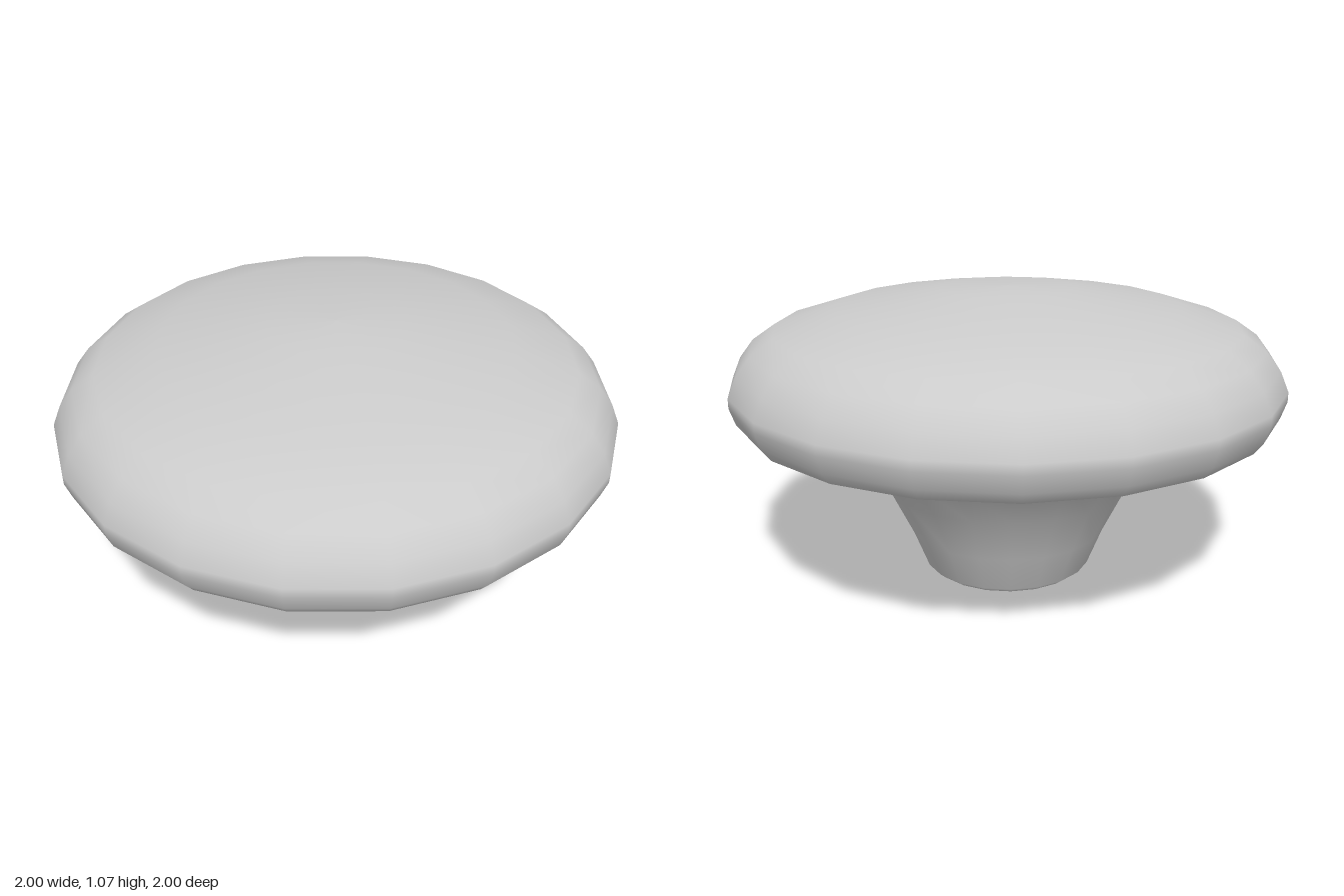
import * as THREE from 'three';

const SIDES = 20;

export function createModel() {
  const group = new THREE.Group();
  group.name = 'knob';
  const material = new THREE.MeshStandardMaterial({ color: 0xcccccc });

  // Turned part from [radius, height] pairs, listed from the bottom outward and up
  const turned = (name, profile) => {
    const points = profile.map(([r, y]) => new THREE.Vector2(r, y));
    const mesh = new THREE.Mesh(new THREE.LatheGeometry(points, SIDES), material);
    mesh.name = name;
    group.add(mesh);
  };

  // Flat mounting face
  turned('base', [[0, 0], [0.29, 0]]);

  // Flared stem, running up into the hollow under the cap
  turned('stem', [
    [0.29, 0], [0.315, 0.02], [0.37, 0.16], [0.455, 0.335],
    [0.58, 0.5], [0.74, 0.595], [0.87, 0.64],
  ]);

  // Domed cap with a rounded rim and a small inner lip
  turned('cap', [
    [0.87, 0.64], [0.89, 0.61], [0.92, 0.6], [0.95, 0.61], [0.98, 0.65],
    [1, 0.71], [1, 0.745], [0.97, 0.815], [0.92, 0.88], [0.84, 0.935],
    [0.625, 1.002], [0.24, 1.063], [0, 1.07],
  ]);

  return group;
}
